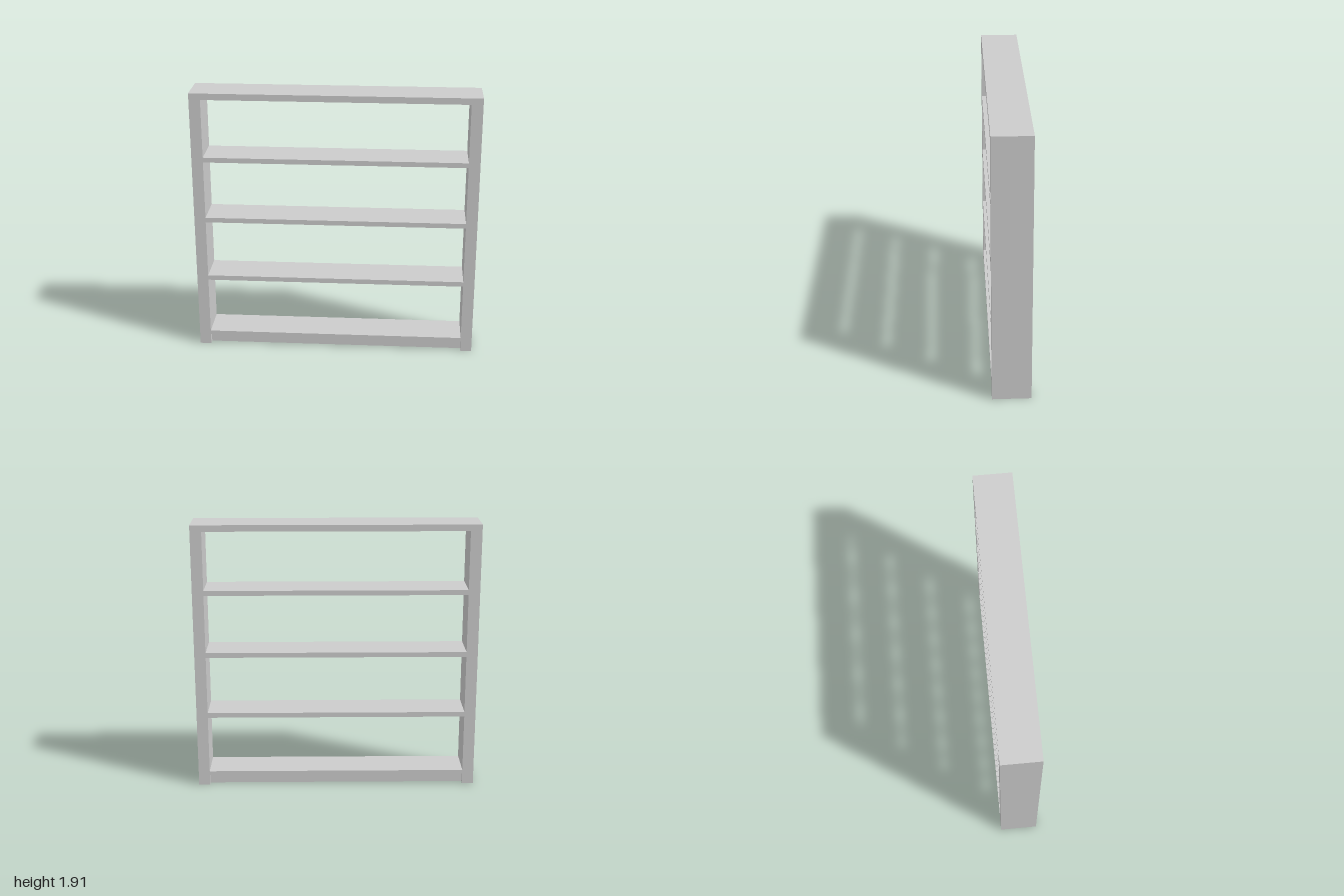
import * as THREE from 'three';

const W = 1, H = 1.915, D = 0.134;          // half width, height, half depth
const IN = 0.92;                            // inner half width of the bays
const KICK = 0.075, RECESS = 0.04;          // plinth height and setback
const BAY0 = 0.105, BAY_H = 0.415, STEP = 0.45, BAYS = 4;

export function createModel() {
  const group = new THREE.Group();
  const mat = new THREE.MeshStandardMaterial({ color: 0xcccccc, side: THREE.DoubleSide });
  const add = (name, geo) => {
    const mesh = new THREE.Mesh(geo, mat);
    mesh.name = name;
    group.add(mesh);
    return mesh;
  };
  // Flat sheets: facing up/down, sideways and front/back
  const level = (name, w, d, y, z = 0) =>
    add(name, new THREE.PlaneGeometry(w, d).rotateX(-Math.PI / 2).translate(0, y, z));
  const upright = (name, d, y0, y1, x, z = 0) =>
    add(name, new THREE.PlaneGeometry(d, y1 - y0).rotateY(Math.sign(x) * Math.PI / 2).translate(x, (y0 + y1) / 2, z));

  // Face frame with a toe notch at the bottom and one hole per bay
  const face = new THREE.Shape([
    [-W, 0], [-IN, 0], [-IN, KICK], [IN, KICK], [IN, 0], [W, 0], [W, H], [-W, H],
  ].map(([x, y]) => new THREE.Vector2(x, y)));
  for (let i = 0; i < BAYS; i++) {
    const y0 = BAY0 + i * STEP, y1 = y0 + BAY_H;
    face.holes.push(new THREE.Path([
      [-IN, y0], [-IN, y1], [IN, y1], [IN, y0],
    ].map(([x, y]) => new THREE.Vector2(x, y))));
    // Lining of each bay: shelf top, underside of the shelf above, side linings
    level('shelfTop', 2 * IN, 2 * D, y0);
    level('shelfUnderside', 2 * IN, 2 * D, y1);
    for (const s of [-1, 1]) upright('innerSide', 2 * D, y0, y1, s * IN);
  }

  // Front and back are alike; the plinth is set back on both, open underneath
  for (const s of [1, -1]) {
    const frame = add(s > 0 ? 'frontFrame' : 'backFrame', new THREE.ShapeGeometry(face));
    frame.rotation.y = s > 0 ? 0 : Math.PI;
    frame.position.z = s * D;
    const kick = add('kickBoard', new THREE.PlaneGeometry(2 * IN, KICK));
    kick.rotation.y = frame.rotation.y;
    kick.position.set(0, KICK / 2, s * (D - RECESS));
    level('kickCeiling', 2 * IN, RECESS, KICK, s * (D - RECESS / 2));
    for (const e of [-1, 1]) upright('kickReturn', RECESS, 0, KICK, e * IN, s * (D - RECESS / 2));
  }

  // Outer shell
  level('topPanel', 2 * W, 2 * D, H);
  upright('leftPanel', 2 * D, 0, H, W);
  upright('rightPanel', 2 * D, 0, H, -W);
  return group;
}
